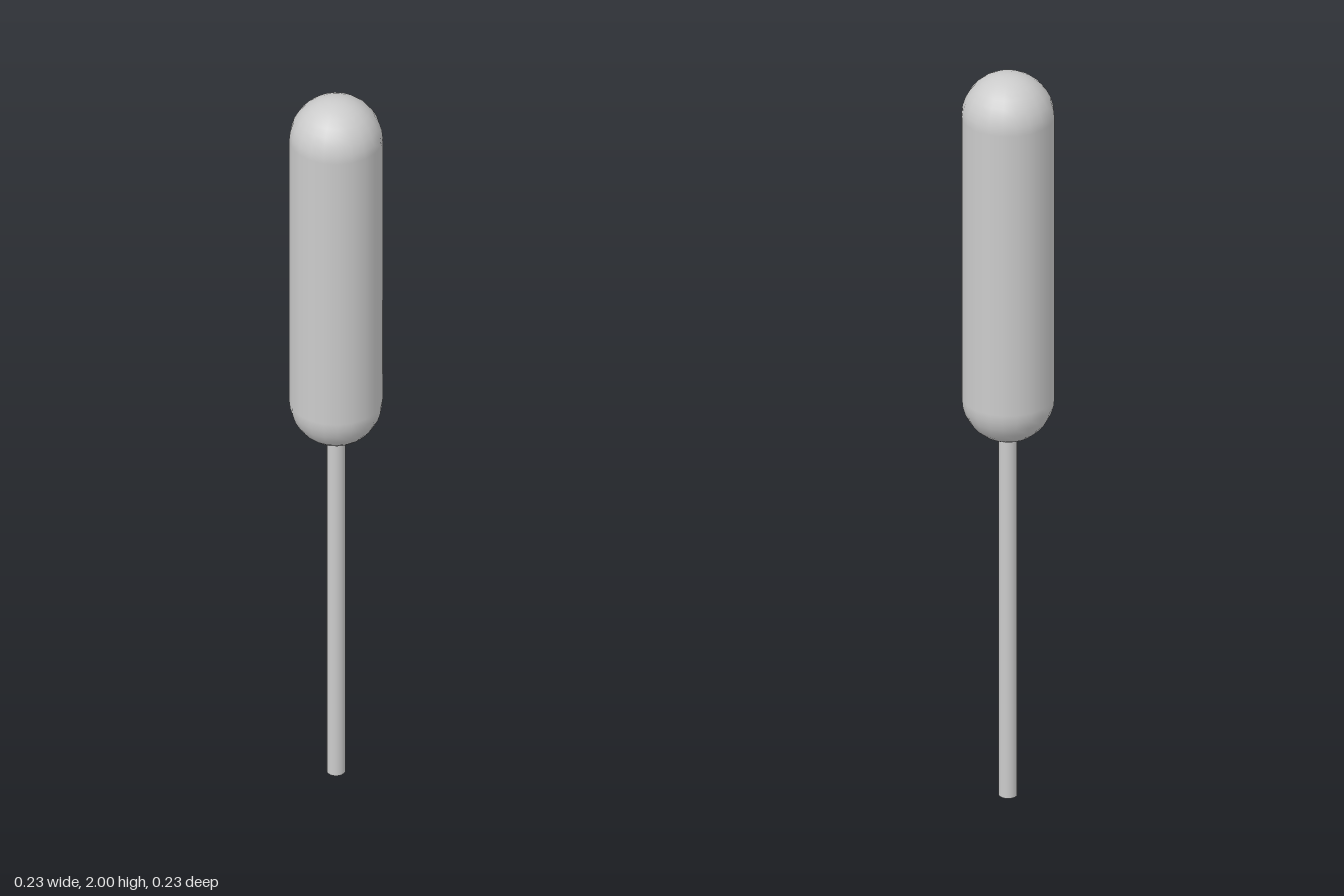
import * as THREE from 'three';

export function createModel() {
  const group = new THREE.Group();
  const material = new THREE.MeshStandardMaterial({ color: 0xcccccc });

  // Adds a named part centred on the vertical axis
  const addPart = (name, geometry, y) => {
    const mesh = new THREE.Mesh(geometry, material);
    mesh.name = name;
    mesh.position.y = y;
    group.add(mesh);
  };

  // Thin round stem, tucked slightly into the head
  const stemHeight = 1.02;
  addPart('stem', new THREE.CylinderGeometry(0.0235, 0.0235, stemHeight, 16), stemHeight / 2);

  // Long rounded head
  const radius = 0.117, bottom = 0.99, top = 2;
  addPart('head', new THREE.CapsuleGeometry(radius, top - bottom - 2 * radius, 8, 20), (top + bottom) / 2);

  return group;
}
